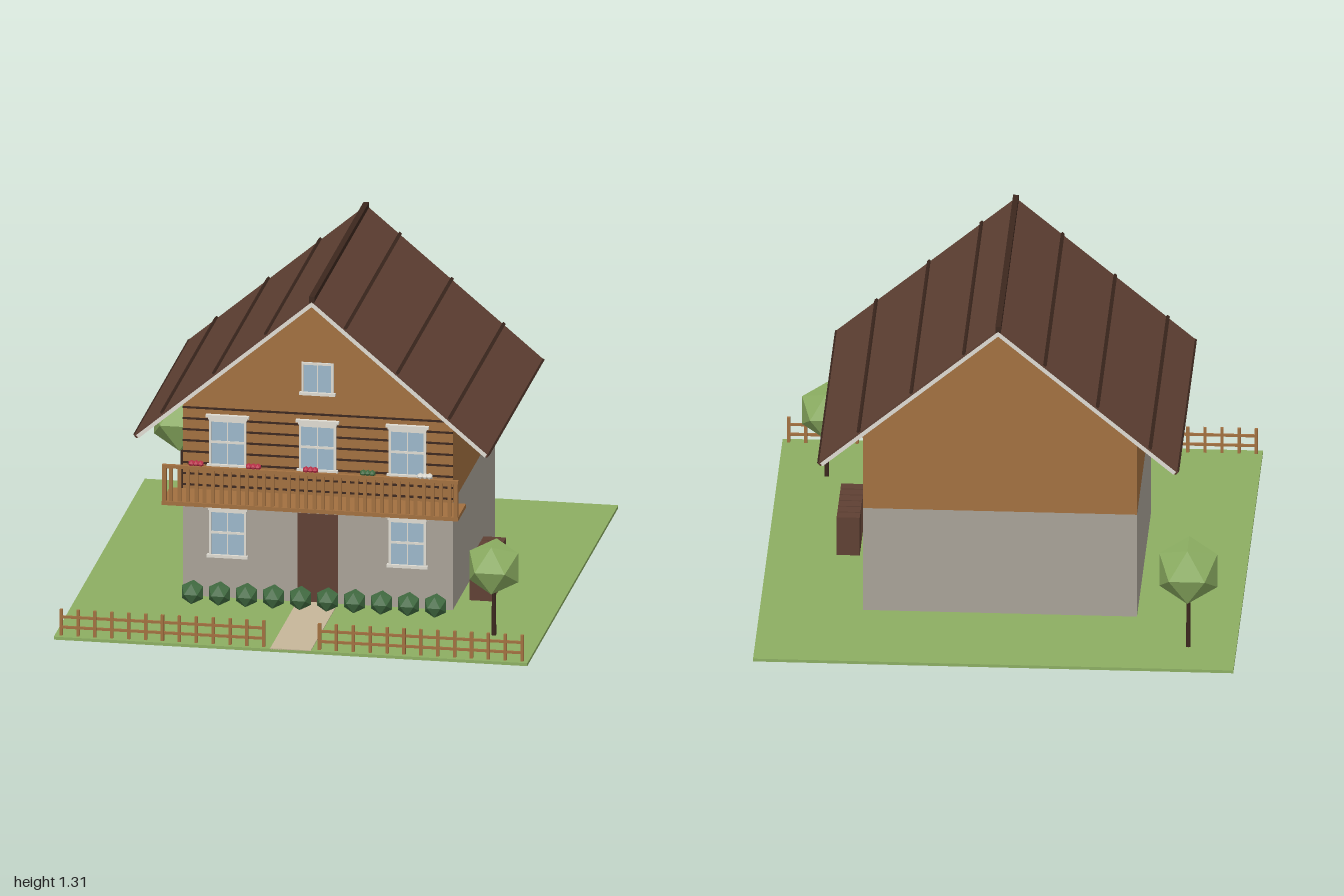
import * as THREE from 'three';

const mat = (name, color) => Object.assign(new THREE.MeshStandardMaterial({ color }), { name });

export function createModel() {
  const grass = mat('leaf green', 0x8cae62), path = mat('path sand', 0xc6b699);
  const stone = mat('stone grey', 0xa8a297), wood = mat('honey wood', 0xa27040);
  const brown = mat('roof brown', 0x5f4033), dark = mat('dark brown', 0x3c271e);
  const white = mat('trim white', 0xdedbd2), glass = mat('window blue', 0x9cb7c9);
  const hedge = mat('hedge green', 0x416b41), red = mat('flower red', 0xbb3049);

  const root = new THREE.Group();
  root.name = 'chalet';
  const group = (name, parent = root) => {
    const g = new THREE.Group();
    g.name = name;
    parent.add(g);
    return g;
  };
  const add = (name, geo, m, x, y, z, parent = root) => {
    const mesh = new THREE.Mesh(geo, m);
    mesh.name = name;
    mesh.position.set(x, y, z);
    parent.add(mesh);
    return mesh;
  };
  // Box given by its limits on each axis
  const box = (name, m, x0, x1, y0, y1, z0, z1, parent) =>
    add(name, new THREE.BoxGeometry(x1 - x0, y1 - y0, z1 - z0), m,
      (x0 + x1) / 2, (y0 + y1) / 2, (z0 + z1) / 2, parent);
  // Faceted ball of leaves or petals
  const ball = (name, m, r, x, y, z, parent) => {
    const b = add(name, new THREE.IcosahedronGeometry(r, 0), m, x, y, z, parent);
    b.rotation.y = Math.PI / 2;
    return b;
  };

  // Ground
  box('lawn', grass, -0.935, 0.935, 0, 0.012, -1, 1);
  box('path', path, -0.08, 0.08, 0.006, 0.015, 0.4, 1);

  // Walls
  const W = 0.533, F = 0.4, B = -0.533;
  box('stoneFloor', stone, -W, W, 0.008, 0.45, B, F);
  const gable = new THREE.Shape([[-W, 0.45], [W, 0.45], [W, 0.825], [0, 1.274], [-W, 0.825]]
    .map(([x, y]) => new THREE.Vector2(x, y)));
  add('woodenUpperFloor', new THREE.ExtrudeGeometry(gable, { depth: F - B, bevelEnabled: false }), wood, 0, 0, B);
  const logs = group('logSeams');
  for (let i = 0; i < 8; i++) {
    const y = 0.467 + i * 0.045;
    box('logSeam', dark, -W, W, y - 0.004, y + 0.004, F - 0.002, F + 0.003, logs);
  }

  // Door
  box('door', brown, -0.08, 0.08, 0.012, 0.375, F - 0.004, F + 0.006);

  // Windows: w and h are the size of the glass, y its lower edge
  const makeWindow = (x, y, w, h, ornate) => {
    const g = group('window');
    g.position.set(x, y, F);
    const a = w / 2, t = 0.009;
    box('glass', glass, -a, a, 0, h, 0, 0.005, g);
    for (const s of [-1, 1]) box('frameSide', white, s * a - t / 2, s * a + t / 2, 0, h, 0, 0.009, g);
    box('frameTop', white, -a, a, h - t, h, 0, 0.009, g);
    box('sill', white, -a - 0.012, a + 0.012, -0.01, 0.002, 0, 0.016, g);
    box('mullion', white, -0.002, 0.002, 0, h, 0, 0.007, g);
    if (ornate) {
      box('crossbar', white, -a, a, h / 2 - 0.005, h / 2 + 0.005, 0, 0.008, g);
      box('lintel', white, -a - 0.008, a + 0.008, h, h + 0.012, 0, 0.012, g);
      box('cornice', white, -a - 0.016, a + 0.016, h + 0.01, h + 0.02, 0, 0.018, g);
    }
  };
  for (const x of [-0.355, 0.355]) makeWindow(x, 0.187, 0.138, 0.183, true);
  for (const x of [-0.355, 0, 0.355]) makeWindow(x, 0.557, 0.138, 0.183, true);
  makeWindow(0, 0.872, 0.118, 0.122, false);

  // Roof: each half is laid along its slope from the ridge down
  const roof = group('roof');
  roof.position.set(0, 1.294, -0.065);
  const len = 0.918, slope = Math.atan2(0.59, 0.7);
  for (const side of [0, 1]) {
    const turn = group('roofHalf', roof);
    turn.rotation.y = side * Math.PI;
    const slab = group('slope', turn);
    slab.rotation.z = -slope;
    box('roofSlab', brown, 0, len, -0.018, 0, -0.6, 0.6, slab);
    for (let i = 0; i < 3; i++) {
      const s = (side ? 0.235 : 0.172) + i * 0.268;
      box('batten', dark, s - 0.006, s + 0.006, -0.002, 0.008, -0.6, 0.6, slab);
    }
    box('eaveStrip', dark, len - 0.006, len + 0.002, -0.018, 0.002, -0.6, 0.6, slab);
    for (const z of [-0.6, 0.6])
      box('bargeboard', white, 0.006, len - 0.006, -0.022, -0.007, z - 0.003, z + 0.003, slab);
  }
  box('ridgeCap', dark, -0.011, 0.011, -0.014, 0.012, -0.602, 0.602, roof);

  // Balcony
  const balcony = group('balcony');
  box('balconyFloor', wood, -0.585, 0.585, 0.434, 0.45, F, 0.575, balcony);
  box('handrail', wood, -0.585, 0.585, 0.585, 0.598, 0.558, 0.574, balcony);
  for (const x of [-0.576, 0.576]) box('cornerPost', wood, x - 0.008, x + 0.008, 0.45, 0.595, 0.558, 0.574, balcony);
  for (let i = 0; i < 34; i++) {
    const x = -0.55 + i * (1.1 / 33);
    box('baluster', wood, x - 0.007, x + 0.007, 0.45, 0.586, 0.561, 0.571, balcony);
  }
  // Flowers on the handrail
  [red, red, red, hedge, white].forEach((m, i) => {
    const x = -0.452 + i * 0.226, g = group('flowers', balcony);
    for (const d of [-0.018, 0, 0.018]) ball('blossom', m, 0.014, x + d, 0.606, 0.559, g);
  });

  // Hedge under the front wall
  const bushes = group('hedge');
  for (let i = 0; i < 10; i++) ball('bush', hedge, 0.049, -0.48 + i * 0.1067, 0.055, 0.485, bushes);

  // Trees
  for (const [x, z, y, r] of [[-0.748, -0.79, 0.34, 0.133], [0.745, 0.675, 0.292, 0.113]]) {
    const tree = group('tree');
    add('trunk', new THREE.CylinderGeometry(0.008, 0.01, y - 0.06, 6), dark, x, (y - 0.04) / 2, z, tree);
    ball('crown', grass, r, x, y, z, tree);
  }

  // Fence on both sides of the path
  for (const s of [-1, 1]) {
    const fence = group('fence');
    for (let i = 0; i < 13; i++) {
      const x = s * (0.11 + i * 0.0667);
      box('picket', wood, x - 0.006, x + 0.006, 0.01, 0.118, 0.968, 0.98, fence);
    }
    for (const y of [0.045, 0.087])
      box('fenceRail', wood, s * 0.51 - 0.405, s * 0.51 + 0.405, y - 0.005, y + 0.005, 0.97, 0.978, fence);
  }

  // Stacked firewood beside the right wall
  const pile = group('woodpile');
  for (let i = 0; i < 6; i++) {
    const z = 0.244 - i * 0.0525;
    box('woodStack', brown, 0.575, 0.665, 0.006, 0.174, z - 0.0225, z + 0.0225, pile);
  }
  return root;
}
